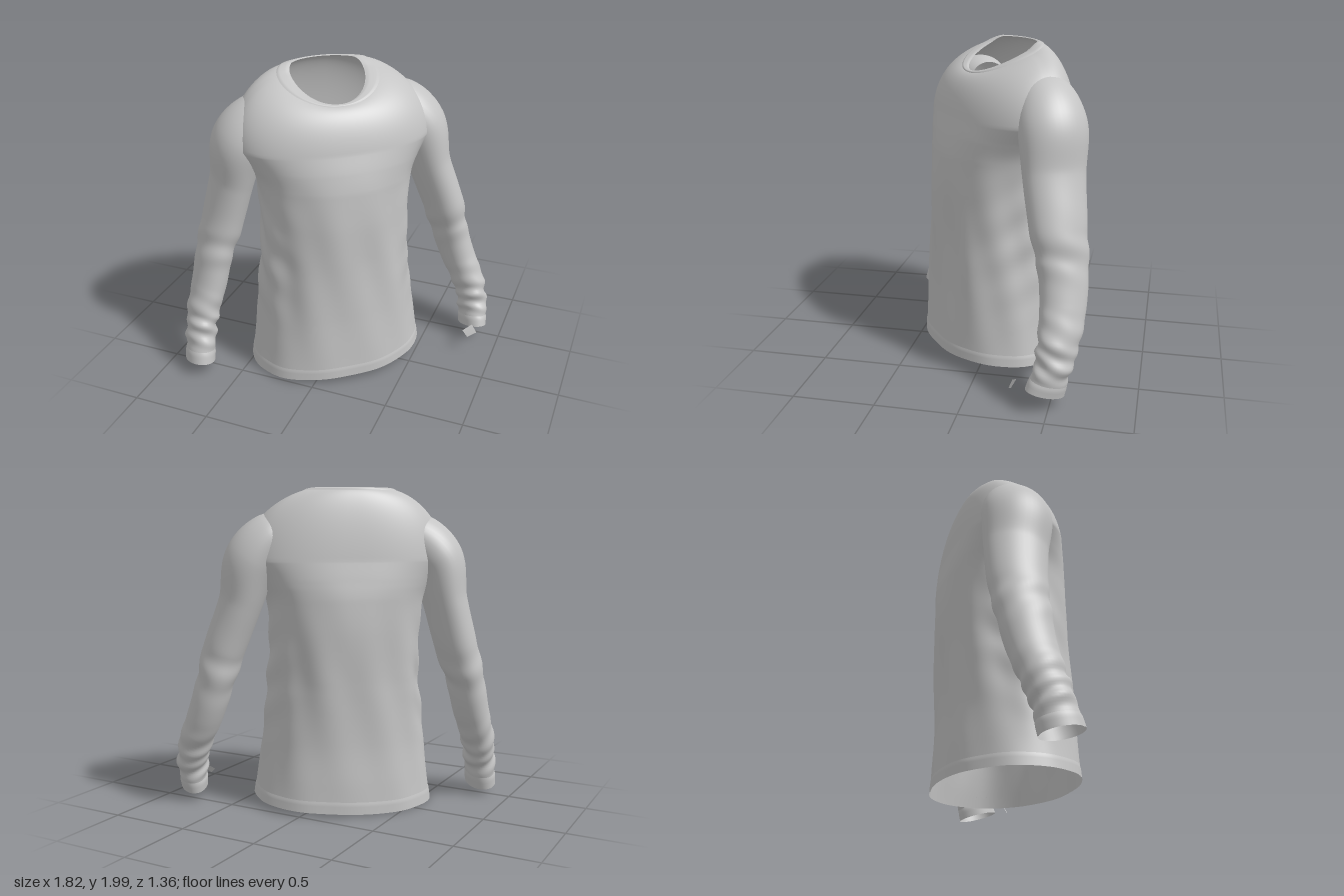
import * as THREE from 'three';

const V = (x, y, z) => new THREE.Vector3(x, y, z);
const YAW = THREE.MathUtils.degToRad(39);
const C = Math.cos(YAW), S = Math.sin(YAW);
// side / height / forward of the garment to model space (it stands turned about y)
const place = (u, y, f) => V(u * C + f * S, y, -u * S + f * C);
const FORWARD = V(S, 0, C);
const clamp01 = (t) => Math.min(1, Math.max(0, t));
const signedPow = (v, e) => Math.sign(v) * Math.abs(v) ** e;

// Smooth closed-ring loft: point(t, angle), t from 0 to 1
function loft(point, rows, cols) {
  const pos = [], index = [];
  for (let i = 0; i <= rows; i++) {
    for (let j = 0; j < cols; j++) {
      const p = point(i / rows, (j / cols) * Math.PI * 2);
      pos.push(p.x, p.y, p.z);
    }
  }
  for (let i = 0; i < rows; i++) {
    for (let j = 0; j < cols; j++) {
      const a = i * cols + j, b = i * cols + (j + 1) % cols;
      index.push(a, a + cols, b, b, a + cols, b + cols);
    }
  }
  const g = new THREE.BufferGeometry();
  g.setAttribute('position', new THREE.Float32BufferAttribute(pos, 3));
  g.setIndex(index);
  g.computeVertexNormals();
  return g;
}

// Torso cross-sections: height, half width, front depth, back depth
const BODY = [
  [0.035, 0.57, 0.395, -0.445], [0.2, 0.545, 0.385, -0.44], [0.45, 0.515, 0.37, -0.43],
  [0.8, 0.485, 0.36, -0.44], [1.1, 0.475, 0.36, -0.45], [1.33, 0.495, 0.345, -0.445],
  [1.45, 0.55, 0.32, -0.43], [1.56, 0.625, 0.285, -0.41],
];
const bodySize = new THREE.CatmullRomCurve3(BODY.map((r) => V(r[0], r[1], 0)));
const bodyDepth = new THREE.CatmullRomCurve3(BODY.map((r) => V(r[2], r[3], 0)));

// Point on the body from hem (0) to armhole height (1), with soft drape folds
function bodyPoint(t, a, lift = 0) {
  const s = bodySize.getPoint(t), d = bodyDepth.getPoint(t);
  const c = Math.cos(a), n = Math.sin(a), y = s.x;
  const side = c ** 6 * Math.sin(y * 24 + n * 6) * 0.009;
  const drape = Math.sin(6 * a + 3.5 * y) * 0.009 + Math.sin(11 * a - 5 * y) * 0.005;
  const fade = clamp01((1.45 - y) / 0.6) * clamp01(0.3 + y);
  const e = lift + (side * clamp01(y * 2 - 0.5) + drape) * fade;
  // the upper back is flatter and squarer than the chest
  const square = n < 0 ? 0.93 - 0.18 * clamp01((y - 0.8) / 0.6) : 0.93;
  const u = -0.025 + (s.y + e) * signedPow(c, square);
  const f = (d.x + d.y) / 2 + ((d.x - d.y) / 2 + e) * signedPow(n, square);
  const p = place(u, y, f);
  p.y += 0.055 * p.x * clamp01(1 - y / 0.6);
  return p;
}

// Point on the yoke from armhole height (0) over the shoulders to the neckline (1)
function yokePoint(t, a, lift = 0) {
  const c = Math.cos(a), n = Math.sin(a);
  const neckY = 1.992 - 0.172 * clamp01((n + 0.5) / 1.5) ** 1.3;
  const neck = place(-0.04 + 0.23 * c, neckY, -0.13 + (n > 0 ? 0.25 : 0.155) * n);
  const p = bodyPoint(1, a);
  const y = p.y + (neck.y - p.y) * Math.sin(t * Math.PI / 2);
  // round over the shoulders, a steadier slope at chest and back
  p.lerp(neck, THREE.MathUtils.lerp(1 - Math.cos(t * Math.PI / 2), t, 0.5 * n * n));
  p.y = y + lift;
  return p.add(place(c * lift * 0.6, 0, n * lift * 0.6));
}

// Sleeve centre lines and half sizes: x, y, z, half depth, half width
const RIGHT = [
  [-0.32, 1.72, 0.09, 0.12, 0.10], [-0.445, 1.69, 0.18, 0.185, 0.16],
  [-0.555, 1.56, 0.25, 0.22, 0.172], [-0.62, 1.3, 0.265, 0.20, 0.135],
  [-0.69, 1.0, 0.30, 0.18, 0.13], [-0.735, 0.8, 0.345, 0.165, 0.117],
  [-0.76, 0.6, 0.39, 0.15, 0.112], [-0.785, 0.4, 0.46, 0.135, 0.103],
  [-0.785, 0.25, 0.51, 0.125, 0.095], [-0.78, 0.075, 0.555, 0.13, 0.09],
];
const LEFT = [
  [0.15, 1.72, -0.27, 0.12, 0.10], [0.26, 1.69, -0.37, 0.185, 0.16],
  [0.365, 1.56, -0.43, 0.215, 0.172], [0.44, 1.3, -0.455, 0.20, 0.135],
  [0.54, 1.0, -0.50, 0.18, 0.13], [0.585, 0.8, -0.535, 0.16, 0.117],
  [0.65, 0.6, -0.55, 0.145, 0.112], [0.745, 0.4, -0.54, 0.13, 0.103],
  [0.79, 0.25, -0.515, 0.115, 0.095], [0.81, 0.1, -0.475, 0.125, 0.08],
];

// Returns a point function for one sleeve, with bunched creases at elbow and wrist
function sleeveSurface(rows) {
  const path = new THREE.CatmullRomCurve3(rows.map((r) => V(r[0], r[1], r[2])));
  const size = new THREE.CatmullRomCurve3(rows.map((r) => V(r[3], r[4], 0)));
  return (t, a, lift = 0) => {
    const p = path.getPoint(t), r = size.getPoint(t), T = path.getTangent(t);
    const N = FORWARD.clone().addScaledVector(T, -FORWARD.dot(T)).normalize();
    const B = T.clone().cross(N);
    const wrist = clamp01((t - 0.68) / 0.15) * clamp01((0.96 - t) / 0.06);
    const elbow = Math.exp(-(((t - 0.52) / 0.07) ** 2));
    const e = lift + wrist * (0.007 * Math.sin(t * 90 + 2.5 * Math.sin(a + 0.5))
      + 0.005 * Math.sin(t * 55 - 2 * a))
      + elbow * 0.006 * Math.sin(t * 55 + 2.5 * Math.cos(a));
    return p.addScaledVector(N, (r.x + e) * Math.cos(a))
      .addScaledVector(B, (r.y + e) * Math.sin(a));
  };
}

export function createModel() {
  const shirt = new THREE.Group();
  shirt.name = 'longSleeveShirt';
  const cloth = new THREE.MeshStandardMaterial({ color: 0xc4c4c4, side: THREE.DoubleSide });
  cloth.name = 'greyCloth';
  const add = (name, geometry, parent = shirt) => {
    const m = new THREE.Mesh(geometry, cloth);
    m.name = name;
    parent.add(m);
  };

  // Torso: body and yoke in one continuous surface
  add('torso', loft((t, a) => (t < 0.7 ? bodyPoint(t / 0.7, -a) : yokePoint((t - 0.7) / 0.3, -a)), 100, 120));

  // Neck band and hem band, slightly raised
  add('collar', loft((t, a) => {
    const edge = clamp01(t * 5) * clamp01((1 - t) * 5);
    return yokePoint(0.86 + 0.14 * t, -a, 0.005 * edge);
  }, 10, 96));
  add('hemBand', loft((t, a) => bodyPoint(t * 0.065, -a, 0.003 * clamp01((1 - t) * 4)), 8, 120));

  // Sleeves with cuffs
  for (const [side, rows] of [['right', RIGHT], ['left', LEFT]]) {
    const surface = sleeveSurface(rows);
    const group = new THREE.Group();
    group.name = side + 'Arm';
    shirt.add(group);
    add(side + 'Sleeve', loft(surface, 110, 40), group);
    add(side + 'Cuff', loft((t, a) => surface(0.95 + 0.05 * t, a, 0.005 * clamp01(t * 4)), 6, 40), group);
  }

  // Small loose tag beside the left cuff
  const tag = new THREE.BufferGeometry();
  tag.setAttribute('position', new THREE.Float32BufferAttribute(
    [0.79, 0.145, -0.28, 0.83, 0.11, -0.265, 0.885, 0.145, -0.29, 0.845, 0.185, -0.315], 3));
  tag.setIndex([0, 1, 2, 0, 2, 3]);
  tag.computeVertexNormals();
  add('tag', tag);

  return shirt;
}
